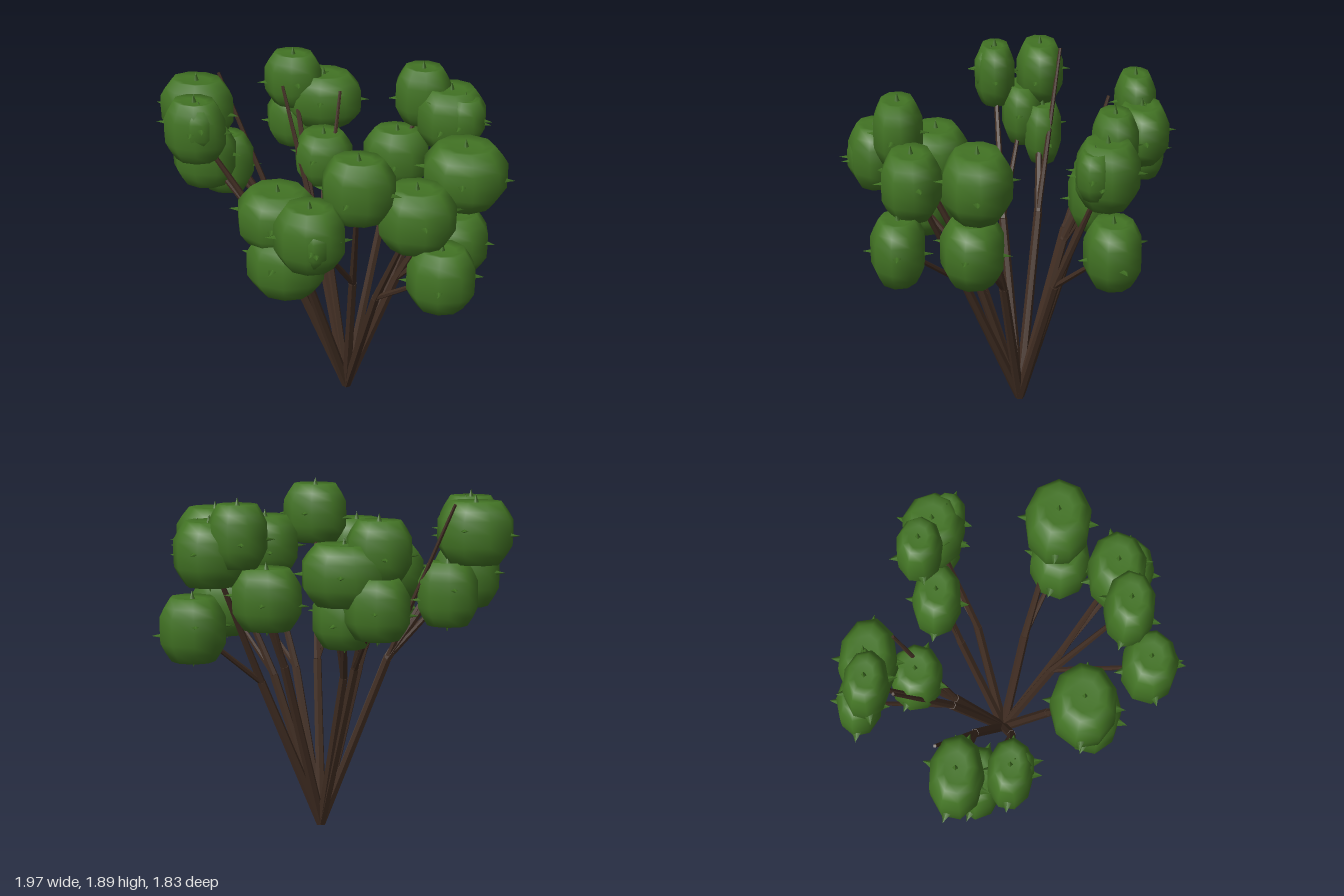
import * as THREE from 'three';

const bark = new THREE.MeshStandardMaterial({ color: 0x402d22 });
bark.name = 'dark bark';
bark.flatShading = true;
const leaf = new THREE.MeshStandardMaterial({ color: 0x427324 });
leaf.name = 'leaf green';

const V = (a) => new THREE.Vector3(a[0], a[1], a[2]);
const UP = new THREE.Vector3(0, 1, 0);
const ROOT = [0.08, 0, -0.03];

// Each stem: fork point, then clumps as [centre x, y, z, radius x, y, z]
const stems = [
  { fork: [-0.08, 0.9, -0.28], clumps: [
    [-0.14, 1.52, -0.70, 0.22, 0.155, 0.15], [-0.11, 1.26, -0.47, 0.165, 0.155, 0.14]] },
  { fork: [-0.14, 0.95, -0.29], clumps: [
    [-0.31, 1.64, -0.68, 0.165, 0.155, 0.115], [-0.31, 1.36, -0.74, 0.165, 0.155, 0.115]] },
  { fork: [-0.3, 0.98, -0.15], clumps: [
    [-0.76, 1.675, -0.18, 0.2, 0.165, 0.135], [-0.62, 1.35, -0.19, 0.16, 0.17, 0.11]] },
  { fork: [-0.28, 0.95, 0.05], clumps: [
    [-0.72, 1.67, 0.08, 0.165, 0.17, 0.115], [-0.71, 1.44, -0.08, 0.175, 0.17, 0.12]] },
  { fork: [0.24, 0.95, -0.28], clumps: [
    [0.44, 1.675, -0.49, 0.155, 0.165, 0.12], [0.31, 1.335, -0.4, 0.185, 0.165, 0.13]] },
  { fork: [0.38, 0.84, -0.2], clumps: [
    [0.6, 1.575, -0.44, 0.19, 0.17, 0.165], [0.69, 1.18, -0.47, 0.175, 0.17, 0.15]] },
  { fork: [0.36, 0.82, 0.07], clumps: [
    [0.71, 1.57, 0.21, 0.22, 0.17, 0.175], [0.66, 1.19, 0.235, 0.195, 0.17, 0.165]] },
  { fork: [0.27, 0.82, 0.28], clumps: [
    [0.49, 1.49, 0.54, 0.2, 0.17, 0.155], [0.63, 1.19, 0.61, 0.175, 0.17, 0.14]] },
  { fork: [0.14, 0.88, 0.24], clumps: [
    [0.205, 1.67, 0.61, 0.185, 0.17, 0.13], [-0.02, 1.46, 0.74, 0.18, 0.17, 0.145]] },
  { fork: [-0.1, 0.85, 0.24], clumps: [
    [-0.23, 1.37, 0.42, 0.215, 0.16, 0.175], [-0.185, 1.125, 0.47, 0.205, 0.17, 0.155]] },
];

// Small clumps bulging out of the larger ones
const bulges = [
  [-0.69, 1.7, 0.1, 0.1, 0.11, 0.1], [0.01, 1.45, 0.785, 0.095, 0.11, 0.105],
  [0.68, 1.6, -0.37, 0.115, 0.12, 0.095],
];

// Tapered round bar between two points
function limb(a, b, r0, r1, name) {
  const p = V(a), q = V(b), d = q.clone().sub(p);
  const mesh = new THREE.Mesh(new THREE.CylinderGeometry(r1, r0, d.length(), 6), bark);
  mesh.position.copy(p).addScaledVector(d, 0.5);
  mesh.quaternion.setFromUnitVectors(UP, d.normalize());
  mesh.name = name;
  return mesh;
}

// Barrel-shaped clump profile, bottom to top, with shallow hollows at both ends
const profile = [[0, -0.93], [0.42, -0.93], [0.67, -1], [0.86, -0.7], [1, -0.42], [1.01, 0],
  [1, 0.42], [0.86, 0.7], [0.67, 1], [0.42, 0.93], [0, 0.94]].map(([x, y]) => new THREE.Vector2(x, y));

// Side tips are flat and point along +x; end tips point up or down
const sideTip = new THREE.ConeGeometry(0.032, 0.075, 4).rotateZ(-Math.PI / 2).scale(1, 0.5, 1);
const endTip = new THREE.ConeGeometry(0.022, 0.07, 4);

function clump([x, y, z, rx, ry, rz], i) {
  const group = new THREE.Group();
  group.name = 'leafClump';
  group.position.set(x, y, z);
  const body = new THREE.LatheGeometry(profile, 9);
  body.rotateY(i * 0.37);
  body.scale(rx, ry, rz);
  const crown = new THREE.Mesh(body, leaf);
  crown.name = 'leafBody';
  group.add(crown);
  const addTip = (geometry) => {
    const tip = new THREE.Mesh(geometry, leaf);
    tip.name = 'leafTip';
    group.add(tip);
    return tip;
  };
  const tilt = 0.3 * Math.sin(i * 2.1);
  for (let k = 0; k < 4; k++) {
    const a = tilt + k * Math.PI / 2;
    const tip = addTip(sideTip);
    tip.position.set(Math.cos(a) * (rx + 0.005), 0.2 * ry * Math.sin(i + k), Math.sin(a) * (rz + 0.005));
    tip.rotation.y = -a;
  }
  for (const s of [1, -1]) {
    const tip = addTip(endTip);
    tip.position.y = s * ry;
    tip.rotation.x = s > 0 ? 0 : Math.PI;
  }
  return group;
}

export function createModel() {
  const model = new THREE.Group();
  model.name = 'shrub';
  let n = 0;
  stems.forEach(({ fork, clumps }) => {
    model.add(limb(ROOT, fork, 0.028, 0.024, 'stem'));
    clumps.forEach((c, i) => {
      model.add(limb(fork, c, i ? 0.016 : 0.022, 0.011, 'branch'));
      model.add(clump(c, n++));
    });
  });
  bulges.forEach((c) => model.add(clump(c, n++)));
  // Bare twigs rising past the foliage
  model.add(limb([-0.3, 0.98, -0.15], [-0.66, 1.83, -0.29], 0.018, 0.009, 'twig'));
  model.add(limb([-0.14, 0.95, -0.29], [-0.35, 1.65, -0.54], 0.018, 0.009, 'twig'));
  model.add(limb([-0.08, 0.9, -0.28], [-0.03, 1.62, -0.58], 0.018, 0.009, 'twig'));
  return model;
}
